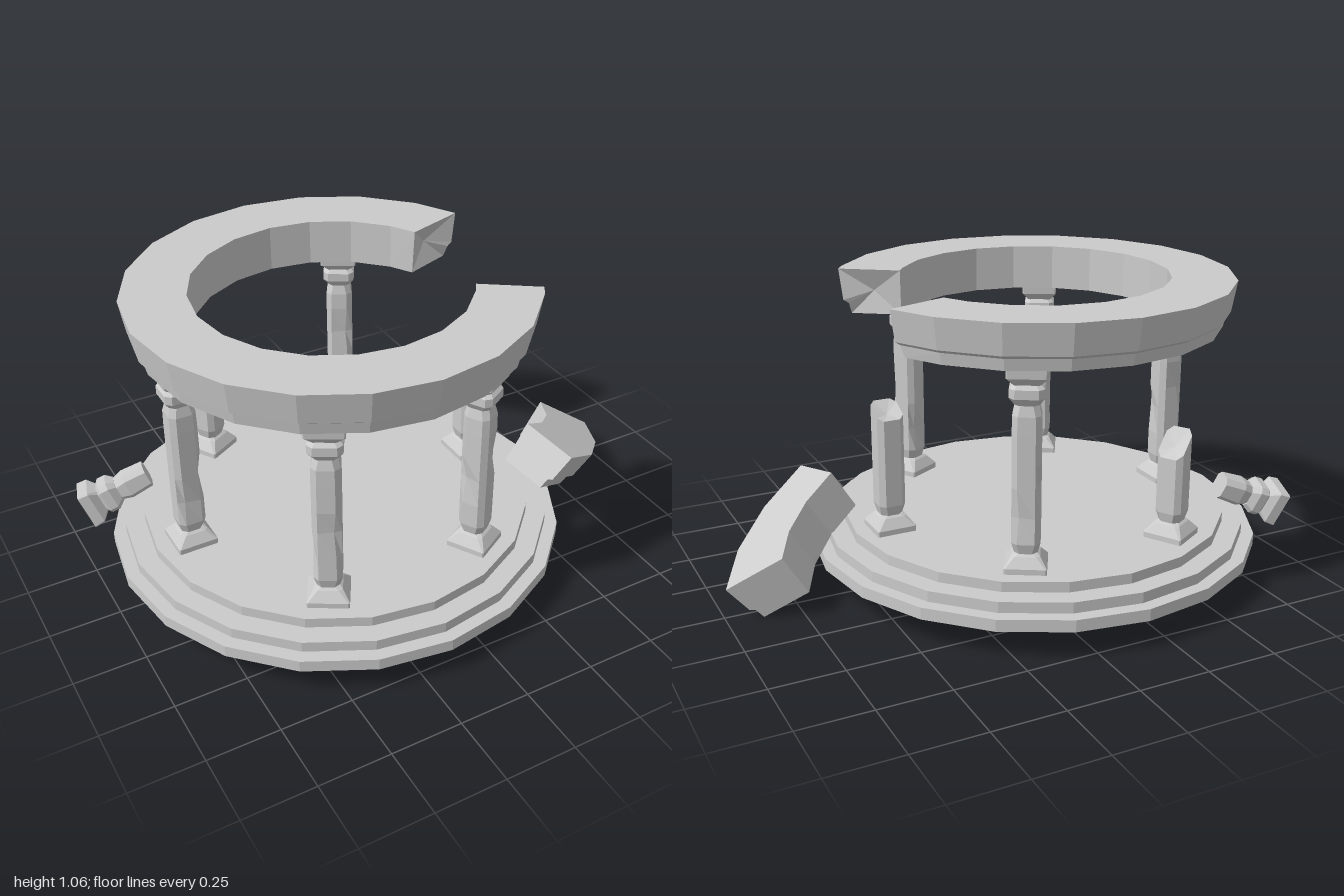
import * as THREE from 'three';

const CX = -0.16; // centre of the rotunda
const RAD = Math.PI / 180;
const stone = new THREE.MeshStandardMaterial({ color: 0xcccccc, flatShading: true });

// Skin a list of equal-length closed loops; both ends close in a fan to an apex
// (the average of the loop when no apex is given).
function loft(rows, startApex, endApex) {
  const pos = [];
  const tri = (a, b, c) => pos.push(...a.toArray(), ...b.toArray(), ...c.toArray());
  const n = rows[0].length;
  for (let i = 0; i < rows.length - 1; i++) {
    for (let j = 0; j < n; j++) {
      const k = (j + 1) % n;
      tri(rows[i][j], rows[i][k], rows[i + 1][j]);
      tri(rows[i][k], rows[i + 1][k], rows[i + 1][j]);
    }
  }
  const mean = (loop) => loop.reduce((s, p) => s.add(p), new THREE.Vector3()).divideScalar(n);
  const first = rows[0], last = rows[rows.length - 1];
  const a = startApex || mean(first), b = endApex || mean(last);
  for (let j = 0; j < n; j++) {
    const k = (j + 1) % n;
    tri(first[k], first[j], a);
    tri(last[j], last[k], b);
  }
  const g = new THREE.BufferGeometry();
  g.setAttribute('position', new THREE.Float32BufferAttribute(pos, 3));
  g.computeVertexNormals();
  return g;
}

function mesh(geometry, name) {
  const m = new THREE.Mesh(geometry, stone);
  m.name = name;
  return m;
}

// Square loop with cut corners, half width h, corner cut c
function square(y, h, c) {
  const d = h - c;
  return [[h, d], [d, h], [-d, h], [-h, d], [-h, -d], [-d, -h], [d, -h], [h, -d]]
    .map(([x, z]) => new THREE.Vector3(x, y, -z));
}

const stack = (levels) => loft(levels.map((l) => square(...l)));

const PLINTH = [[0.21, 0.07, 0.004], [0.235, 0.07, 0.004], [0.268, 0.047, 0.012], [0.275, 0.038, 0.014]];
const COLLAR = [[0.775, 0.04, 0.016], [0.8, 0.056, 0.018], [0.83, 0.056, 0.018], [0.845, 0.042, 0.014]];
const ABACUS = [[0.835, 0.038, 0.01], [0.868, 0.064, 0.005], [0.905, 0.066, 0.004]];

// Eight-sided shaft with worn corners
function shaft(seed) {
  const rows = [[0.27, 0.037], [0.31, 0.047], [0.4, 0.047], [0.5, 0.047], [0.58, 0.047], [0.68, 0.047], [0.74, 0.046], [0.78, 0.037]]
    .map(([y, h]) => square(y, h, 0.018));
  [[2, 0], [3, 2], [4, 5]].forEach(([row, step]) => {
    const p = rows[row][(seed * 3 + step) % 8];
    p.x *= 0.78;
    p.z *= 0.78;
  });
  return loft(rows);
}

// Snapped shaft whose break slopes along z
function brokenShaft(top, slope) {
  const end = square(top, 0.047, 0.018);
  end.forEach((p) => { p.y += slope * p.z; });
  return loft([square(0.27, 0.037, 0.018), square(0.31, 0.047, 0.018), end],
    null, new THREE.Vector3(0, top - 0.015, 0));
}

function column(index, broken) {
  const a = index * 60 * RAD;
  const g = new THREE.Group();
  g.name = broken ? 'brokenColumn' : 'column';
  g.add(mesh(stack(PLINTH), 'plinth'));
  if (broken) {
    g.add(mesh(brokenShaft(...broken), 'brokenShaft'));
  } else {
    g.add(mesh(shaft(index), 'shaft'), mesh(stack(COLLAR), 'collar'), mesh(stack(ABACUS), 'abacus'));
  }
  g.position.set(CX + 0.56 * Math.cos(a), 0, 0.56 * Math.sin(a));
  g.rotation.y = -a;
  return g;
}

// Lintel section as [radius, height]
const LINTEL = [[0.47, 0.9], [0.648, 0.9], [0.655, 0.94], [0.672, 0.952], [0.69, 1.06], [0.47, 1.06]];
const polar = (r, y, deg) => new THREE.Vector3(r * Math.cos(deg * RAD), y, r * Math.sin(deg * RAD));
// An angle entry is one number, or one per section point for a ragged end
const lintelRow = (angle) => LINTEL.map(([r, y], j) => polar(r, y, Array.isArray(angle) ? angle[j] : angle));

export function createModel() {
  const model = new THREE.Group();

  // Stepped round base
  [[0.8, 0.1, 0.142], [0.755, 0.142, 0.18], [0.685, 0.18, 0.216]].forEach(([r, y0, y1]) => {
    const step = mesh(new THREE.CylinderGeometry(r, r, y1 - y0, 20), 'baseStep');
    step.position.set(CX, (y0 + y1) / 2, 0);
    model.add(step);
  });

  // Six columns, two of them snapped: [break height, break slope]
  const broken = { 0: [0.645, 0.5], 4: [0.55, -0.9] };
  for (let i = 0; i < 6; i++) model.add(column(i, broken[i]));

  // Ring lintel with a ragged gap
  const angles = [[32, 32.6, 31.3, 30.5, 32, 30.7]];
  for (let d = 36; d <= 324; d += 18) angles.push(d);
  angles.push([335, 336.4, 337.6, 338, 338, 336]);
  const ring = mesh(loft(angles.map(lintelRow), polar(0.57, 0.98, 34.5), polar(0.57, 0.98, 333)), 'ringLintel');
  ring.position.x = CX;
  model.add(ring);

  // Fallen lintel block, leaning on the base edge
  const block = mesh(loft([-27, -9, 9, 27].map(lintelRow)), 'fallenLintel');
  const out = new THREE.Vector3(0.559, -0.379, 0.739).normalize();
  const up = new THREE.Vector3(0.52, 0.853, 0.044);
  up.addScaledVector(out, -up.dot(out)).normalize();
  block.quaternion.setFromRotationMatrix(
    new THREE.Matrix4().makeBasis(out, up, new THREE.Vector3().crossVectors(out, up)));
  block.position.set(0.449, 0.461, -0.271).addScaledVector(up, -1.06);
  model.add(block);

  // Fallen capital with a bit of shaft
  const capital = new THREE.Group();
  capital.name = 'fallenCapital';
  const stub = [[0.66, 0.042, 0.018], [0.74, 0.046, 0.018], [0.78, 0.037, 0.018]];
  capital.add(mesh(stack(stub), 'shaftFragment'), mesh(stack(COLLAR), 'collar'), mesh(stack(ABACUS), 'abacus'));
  const axis = new THREE.Vector3(-0.91, -0.37, -0.18).normalize();
  capital.quaternion.setFromUnitVectors(new THREE.Vector3(0, 1, 0), axis);
  capital.position.set(-0.968, 0.2, -0.375).addScaledVector(axis, -0.9);
  model.add(capital);

  return model;
}
